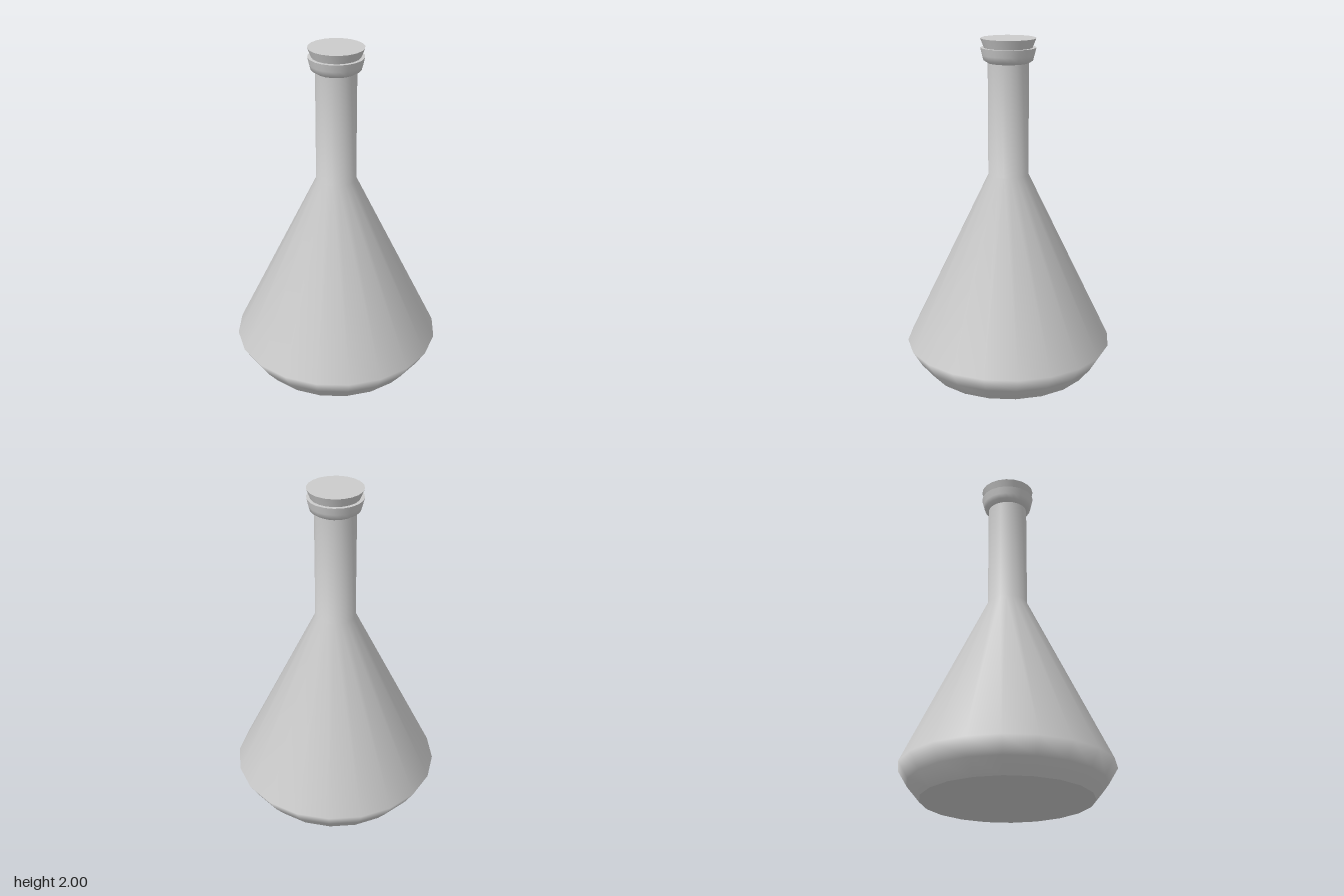
import * as THREE from 'three';

const SIDES = 20;
const material = new THREE.MeshStandardMaterial({ color: 0xcccccc, side: THREE.DoubleSide });

// Revolves a smooth profile, listed from bottom to top as [radius, height]
function turned(name, profile) {
  const points = profile.map(([r, y]) => new THREE.Vector2(r, y));
  const mesh = new THREE.Mesh(new THREE.LatheGeometry(points, SIDES), material);
  mesh.name = name;
  return mesh;
}

export function createModel() {
  const flask = new THREE.Group();
  flask.name = 'flask';

  flask.add(
    // Flat underside
    turned('base', [[0, 0], [0.488, 0]]),
    // Rounded foot, conical body and straight neck
    turned('body', [[0.488, 0], [0.558, 0.085], [0.614, 0.178], [0.118, 1.21], [0.118, 1.87]]),
    // Flared lip with its flat rim
    turned('lip', [[0.116, 1.86], [0.142, 1.876], [0.15, 1.905], [0.16, 1.947]]),
    turned('rim', [[0.16, 1.947], [0.118, 1.947]])
  );

  // Tapered stopper
  const stopper = new THREE.Mesh(new THREE.CylinderGeometry(0.16, 0.105, 0.14, SIDES), material);
  stopper.name = 'stopper';
  stopper.position.y = 1.93;
  flask.add(stopper);

  return flask;
}
